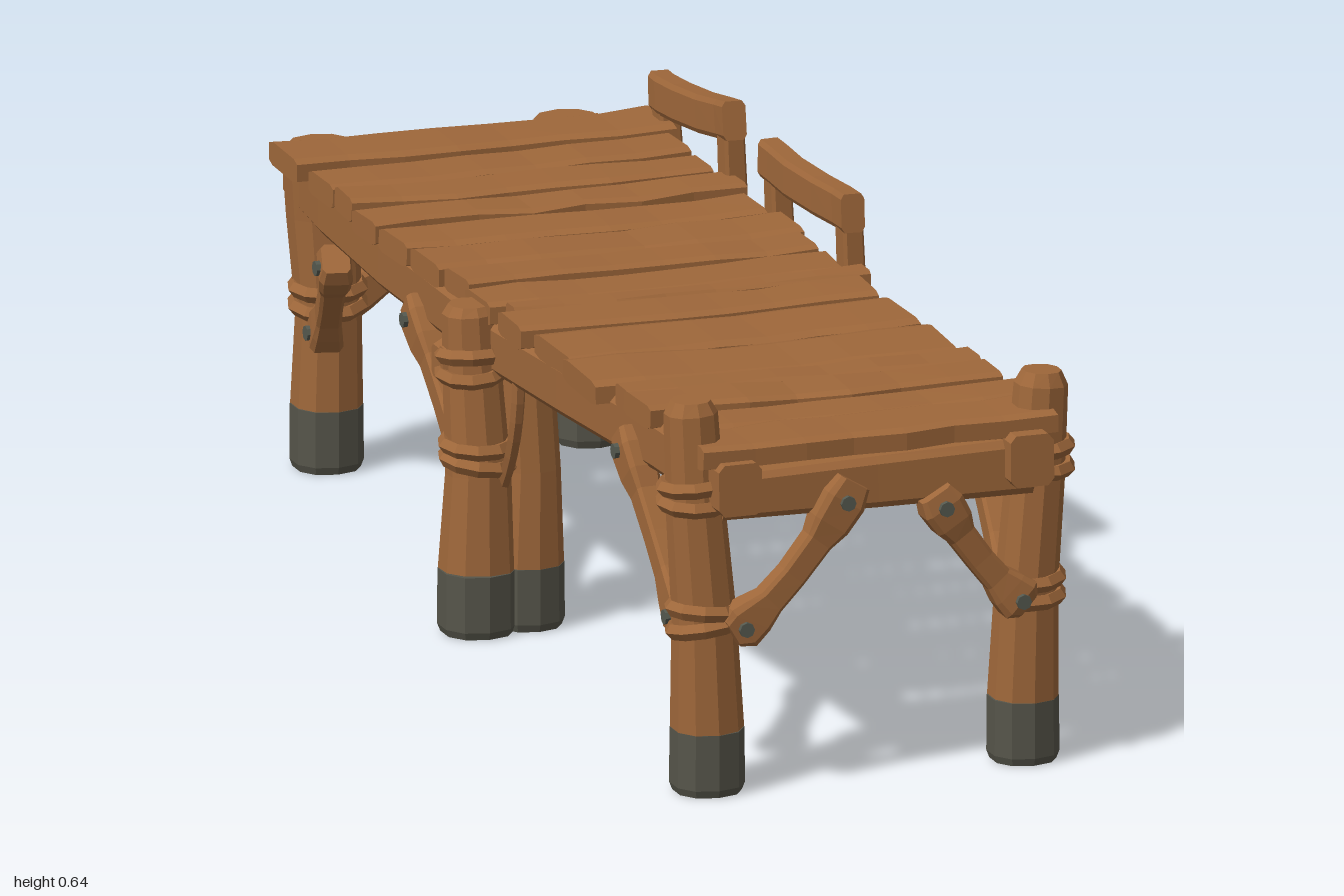
import * as THREE from 'three';

export function createModel() {
  const model = new THREE.Group();
  const mat = (name, color) => {
    const m = new THREE.MeshStandardMaterial({ color });
    m.name = name;
    return m;
  };
  const wood = mat('brown wood', 0x9e673a);
  const tar = mat('dark grey waterline', 0x56554a);
  const iron = mat('grey iron', 0x55594f);

  let seed = 7;
  const rand = () => (seed = (seed * 16807) % 2147483647) / 2147483647;
  const jit = (a) => (rand() * 2 - 1) * a;

  const add = (name, geo, material, parent = model) => {
    const flat = geo.index ? geo.toNonIndexed() : geo;
    flat.computeVertexNormals();
    const mesh = new THREE.Mesh(flat, material);
    mesh.name = name;
    parent.add(mesh);
    return mesh;
  };

  // Faceted timber through points [x, y, z, halfU, halfV]; a low pow gives a chamfered square section
  function loft(pts, sides = 8, pow = 0.35) {
    const P = pts.map((p) => new THREE.Vector3(p[0], p[1], p[2]));
    const n = P.length;
    const dir = P[n - 1].clone().sub(P[0]).normalize();
    const ref = Math.abs(dir.y) > 0.85 ? new THREE.Vector3(1, 0, 0) : new THREE.Vector3(0, 1, 0);
    const bulge = (v) => Math.sign(v) * Math.abs(v) ** pow;
    const rings = P.map((p, i) => {
      const T = P[Math.min(i + 1, n - 1)].clone().sub(P[Math.max(i - 1, 0)]).normalize();
      const U = ref.clone().addScaledVector(T, -ref.dot(T)).normalize();
      const V = T.clone().cross(U);
      const [, , , a, b = a] = pts[i];
      return Array.from({ length: sides }, (_, j) => {
        const t = ((j + 0.5) / sides) * Math.PI * 2;
        return p.clone().addScaledVector(U, a * bulge(Math.cos(t))).addScaledVector(V, b * bulge(Math.sin(t)));
      });
    });
    const out = [];
    const tri = (...vs) => vs.forEach((v) => out.push(v.x, v.y, v.z));
    for (let j = 0; j < sides; j++) {
      const k = (j + 1) % sides;
      for (let i = 0; i < n - 1; i++) {
        const [a, b, c, d] = [rings[i][j], rings[i][k], rings[i + 1][k], rings[i + 1][j]];
        tri(a, b, c);
        tri(a, c, d);
      }
      tri(P[0], rings[0][k], rings[0][j]);
      tri(P[n - 1], rings[n - 1][j], rings[n - 1][k]);
    }
    const g = new THREE.BufferGeometry();
    g.setAttribute('position', new THREE.Float32BufferAttribute(out, 3));
    return g;
  }
  const timber = (name, pts) => add(name, loft(pts), wood);

  // Round iron nail head facing along x or z
  function nail(x, y, z, axis, s = 1) {
    const m = add('nail', new THREE.CylinderGeometry(0.012, 0.012, 0.008, 8), iron);
    m.position.set(x, y, z);
    if (axis === 'x') m.rotation.z = -s * Math.PI / 2;
    else m.rotation.x = s * Math.PI / 2;
  }

  // Leg with dark foot, bent shaft and rope bindings
  function leg(name, pts, ropes = []) {
    const g = new THREE.Group();
    g.name = name;
    model.add(g);
    const [x, , z, r] = pts[0];
    add('foot', loft([[x, 0, z, r * 0.92], [x, 0.012, z, r], [x, 0.1, z, r * 0.99]], 10, 0.9), tar, g);
    add('shaft', loft([[x, 0.1, z, r * 0.98], ...pts.slice(1)], 10, 0.9), wood, g);
    for (const [rx, ry, rz, rr] of ropes) {
      for (let i = 0; i < 2; i++) {
        const ring = add('binding', new THREE.TorusGeometry(rr, 0.013, 5, 10), wood, g);
        ring.position.set(rx, ry + i * 0.027, rz);
        ring.rotation.set(Math.PI / 2 + jit(0.14), jit(0.14), 0);
      }
    }
  }

  // Legs
  leg('frontRightLeg', [[-0.263, 0, 0.92, 0.057], [-0.268, 0.28, 0.92, 0.049], [-0.28, 0.45, 0.915, 0.045],
    [-0.286, 0.6, 0.91, 0.041], [-0.286, 0.62, 0.91, 0.03]],
    [[-0.268, 0.262, 0.92, 0.05], [-0.282, 0.46, 0.914, 0.048]]);
  leg('frontLeftLeg', [[0.25, 0, 0.92, 0.055], [0.256, 0.28, 0.92, 0.048], [0.272, 0.45, 0.915, 0.045],
    [0.283, 0.59, 0.91, 0.041], [0.284, 0.612, 0.91, 0.03]],
    [[0.256, 0.262, 0.92, 0.05], [0.275, 0.465, 0.914, 0.048]]);
  leg('middleOuterLeg', [[-0.302, 0, -0.01, 0.06], [-0.298, 0.25, -0.015, 0.05], [-0.302, 0.4, -0.03, 0.045],
    [-0.305, 0.5, -0.035, 0.042], [-0.305, 0.515, -0.035, 0.032]],
    [[-0.299, 0.27, -0.016, 0.05], [-0.303, 0.41, -0.03, 0.047]]);
  leg('middleInnerLeg', [[-0.215, 0, -0.02, 0.055], [-0.212, 0.25, -0.02, 0.046], [-0.22, 0.48, -0.03, 0.042]]);
  leg('backRightLeg', [[-0.215, 0, -0.93, 0.056], [-0.212, 0.25, -0.93, 0.05], [-0.217, 0.4, -0.94, 0.056],
    [-0.22, 0.5, -0.94, 0.06], [-0.22, 0.512, -0.94, 0.05]], [[-0.213, 0.26, -0.93, 0.051]]);
  leg('backLeftLeg', [[0.21, 0, -0.93, 0.056], [0.205, 0.2, -0.93, 0.047], [0.185, 0.37, -0.935, 0.052],
    [0.18, 0.5, -0.94, 0.06], [0.18, 0.512, -0.94, 0.05]]);

  // Side beams, gently sagging
  for (const s of [-1, 1]) {
    timber('sideBeam', [[0.237, 0.495, 1.0, 0.042], [0.24, 0.488, 0.7, 0.043], [0.25, 0.468, 0.3, 0.043],
      [0.25, 0.45, 0, 0.042], [0.25, 0.447, -0.5, 0.042], [0.24, 0.452, -0.8, 0.045], [0.225, 0.455, -1.0, 0.042]]
      .map(([x, y, z, h]) => [s * x, y, z, h, 0.036]));
  }
  // Cross beams at both ends
  timber('frontCrossBeam', [[-0.25, 0.47, 0.93, 0.036, 0.03], [0, 0.473, 0.93, 0.042, 0.035], [0.25, 0.478, 0.94, 0.046, 0.035]]);
  timber('backCrossBeam', [[-0.2, 0.435, -0.95, 0.045, 0.026], [0, 0.425, -0.955, 0.048, 0.026], [0.18, 0.43, -0.95, 0.05, 0.026]]);

  // Deck planks: [z start, z end, x start, x end]
  const deckY = (z) => 0.514 + 0.02 * z + 0.018 * z * z;
  const planks = [
    [-0.92, -0.79, -0.31, 0.3], [-0.78, -0.67, -0.3, 0.285], [-0.66, -0.56, -0.3, 0.28], [-0.55, -0.46, -0.31, 0.3],
    [-0.45, -0.335, -0.3, 0.285], [-0.325, -0.205, -0.295, 0.3], [-0.195, -0.105, -0.285, 0.285],
    [-0.1, 0.015, -0.29, 0.29], [0.025, 0.068, -0.27, 0.31], [0.078, 0.19, -0.3, 0.28], [0.2, 0.365, -0.285, 0.285],
    [0.375, 0.54, -0.3, 0.285], [0.55, 0.62, -0.28, 0.29], [0.63, 0.735, -0.29, 0.285],
    [0.745, 0.845, -0.275, 0.3], [0.85, 0.98, -0.29, 0.285],
  ];
  planks.forEach(([z0, z1, x0, x1], n) => {
    const pts = [];
    const lift = jit(0.005);
    const skew = jit(0.008);
    for (let i = 0; i <= 7; i++) {
      const t = i / 7;
      const z = (z0 + z1) / 2 + jit(0.004) + skew * (t * 2 - 1);
      const y = deckY(z) + lift + jit(0.002) + 0.004 * Math.abs(t * 2 - 1) - 0.006;
      pts.push([x0 + (x1 - x0) * t, y, z, 0.019, (z1 - z0) / 2 + jit(0.005)]);
    }
    timber('plank' + (n + 1), pts);
  });

  // Diagonal braces with chunky nailed ends
  function brace(name, a, b, bow, axis, s, nailed = true) {
    const A = new THREE.Vector3(...a), B = new THREE.Vector3(...b);
    const at = (t, u, v) => {
      const p = A.clone().lerp(B, t);
      p.y -= bow * 4 * t * (1 - t);
      return [p.x, p.y, p.z, u, v];
    };
    timber(name, [at(-0.1, 0.024, 0.02), at(0, 0.037, 0.027), at(0.14, 0.032, 0.024), at(0.28, 0.023, 0.02),
      at(0.5, 0.022, 0.019), at(0.75, 0.023, 0.02), at(0.86, 0.032, 0.025), at(1, 0.035, 0.027), at(1.1, 0.027, 0.022)]);
    if (!nailed) return;
    for (const p of [A, B]) {
      if (axis === 'x') nail(p.x + s * 0.029, p.y, p.z, 'x', s);
      else nail(p.x, p.y, p.z + s * 0.029, 'z', s);
    }
  }
  brace('frontBraceRight', [-0.225, 0.27, 0.965], [-0.06, 0.455, 0.965], 0.02, 'z', 1);
  brace('frontBraceLeft', [0.225, 0.27, 0.965], [0.1, 0.43, 0.965], 0.012, 'z', 1);
  brace('backBrace', [-0.185, 0.25, -0.965], [0.08, 0.365, -0.97], 0, 'z', -1);
  for (const s of [-1, 1]) {
    brace('frontSideBrace', [s * 0.265, 0.25, 0.82], [s * 0.275, 0.46, 0.62], 0.005, 'x', s);
    brace('backSideBrace', [s * 0.235, 0.23, -0.88], [s * 0.27, 0.375, -0.74], 0.005, 'x', s);
  }
  brace('middleBrace', [-0.28, 0.21, -0.09], [-0.28, 0.41, -0.32], 0, 'x', -1);

  // Thin curved strut beside the middle legs
  const bent = new THREE.QuadraticBezierCurve3(new THREE.Vector3(-0.27, 0.42, 0.09),
    new THREE.Vector3(-0.27, 0.32, 0.085), new THREE.Vector3(-0.27, 0.24, 0.02));
  add('curvedStrut', new THREE.TubeGeometry(bent, 6, 0.011, 6), wood);

  // Railings on the left side: [z front, z back, top front, top back]
  for (const [za, zb, ya, yb] of [[0.02, -0.36, 0.645, 0.63], [-0.515, -0.865, 0.645, 0.598]]) {
    timber('handRail', [0, 0.15, 0.4, 0.7, 0.9, 1].map((t) =>
      [0.3 + jit(0.004), ya + (yb - ya) * t - 0.032 - 0.008 * Math.sin(Math.PI * t), za + (zb - za) * t, 0.031, 0.019]));
    for (const [z, y] of [[za - 0.026, ya], [zb + 0.03, yb]]) {
      timber('railPost', [[0.303, 0.4, z, 0.02, 0.026], [0.305, 0.5, z, 0.018, 0.024], [0.3, y - 0.02, z, 0.017, 0.022]]);
    }
  }
  // Nailed blocks along the left beam
  for (const [z, y, x] of [[0.03, 0.425, 0.352], [-0.32, 0.425, 0.335], [-0.535, 0.43, 0.325], [-0.74, 0.375, 0.315], [-0.84, 0.405, 0.345]]) {
    timber('railBlock', [[0.25, y, z, 0.028], [x - 0.05, y, z, 0.03], [x - 0.01, y, z, 0.034], [x, y, z, 0.028]]);
    nail(x + 0.001, y, z, 'x');
  }
  // Short stub on the right beam above the middle legs
  timber('beamStub', [[-0.24, 0.42, -0.05, 0.03], [-0.335, 0.42, -0.05, 0.033], [-0.352, 0.42, -0.05, 0.026]]);

  return model;
}
